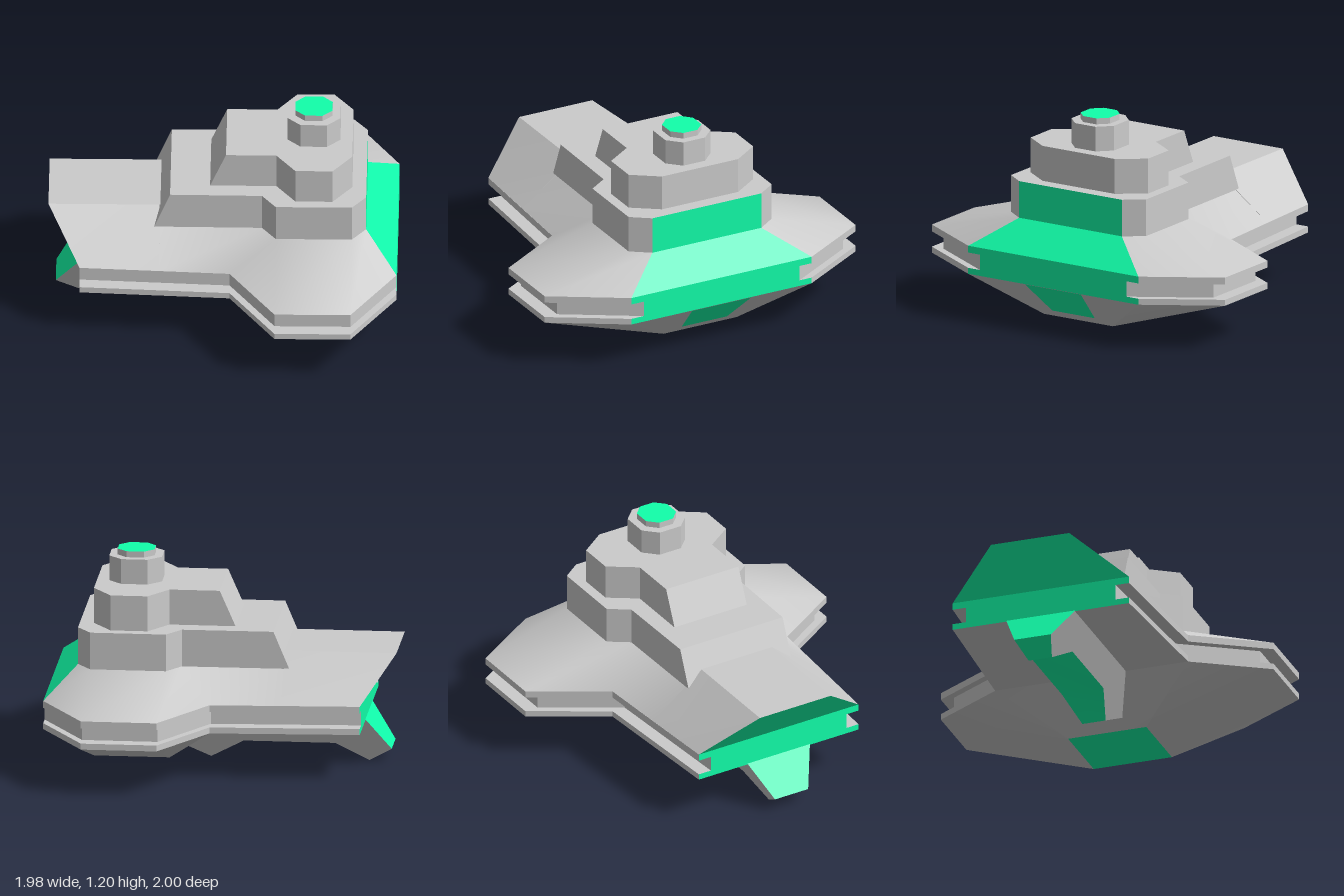
import * as THREE from 'three';
import { toCreasedNormals } from 'three/addons/utils/BufferGeometryUtils.js';

const grey = new THREE.MeshStandardMaterial({ color: 0xcccccc });
const green = new THREE.MeshStandardMaterial({ color: 0x11ffaa });

function meshFrom(points, material, name) {
  const geo = new THREE.BufferGeometry();
  geo.setAttribute('position', new THREE.Float32BufferAttribute(points.flat(), 3));
  const mesh = new THREE.Mesh(toCreasedNormals(geo, 0.6), material);
  mesh.name = name;
  return mesh;
}

const quad = (a, b, c, d) => [a, b, c, a, c, d];

// Full ring at height y from a half outline [x, z, y?] running stern to bow on +z
function ring(half, y) {
  const left = half.map(([x, z, h = y]) => [x, h, z]);
  return [...left, ...left.map(([x, h, z]) => [x, h, -z]).reverse()];
}

// Solid between two matching rings; chosen sides and caps take the accent colour
function solid(name, low, high, { accents = [], top = grey, bottom = grey, flat = p => [p[0], -p[2]] } = {}) {
  const group = new THREE.Group();
  group.name = name;
  const plain = [], accent = [];
  low.forEach((p, i) => {
    const j = (i + 1) % low.length;
    (accents.includes(i) ? accent : plain).push(...quad(p, low[j], high[j], high[i]));
  });
  const cap = (r, flip) => THREE.ShapeUtils
    .triangulateShape(r.map(p => new THREE.Vector2(...flat(p))), [])
    .flatMap(([a, b, c]) => flip ? [r[a], r[c], r[b]] : [r[a], r[b], r[c]]);
  if (top) (top === green ? accent : plain).push(...cap(high, false));
  if (bottom) (bottom === green ? accent : plain).push(...cap(low, true));
  if (plain.length) group.add(meshFrom(plain, grey, name + 'Shell'));
  if (accent.length) group.add(meshFrom(accent, green, name + 'Accent'));
  return group;
}

// Half outline of an octagon centred on x = cx
const octagon = (cx, rx, rz, c) => [[cx - rx, rz - c], [cx - rx + c, rz], [cx + rx - c, rz], [cx + rx, rz - c]];

export function createModel() {
  const model = new THREE.Group();
  model.name = 'spaceship';

  // Hull rim: two plates with a recessed groove along the sides
  const outline = [[-0.81, 0.53], [0.04, 0.58], [0.3, 1], [0.73, 1], [0.985, 0.58]];
  const inset = outline.map(([x, z]) => [x, z - 0.08]);
  const ends = { accents: [4, 9] };
  model.add(solid('lowerRim', ring(outline, 0.275), ring(outline, 0.31), ends));
  model.add(solid('rimGroove', ring(inset, 0.31), ring(inset, 0.4), ends));
  model.add(solid('upperRim', ring(outline, 0.4), ring(outline, 0.44), ends));

  // Upper hull sloping up to the decks, with the overhanging stern
  const foot = [[-0.81, 0.53], [-0.36, 0.555], [-0.36, 0.555], ...outline.slice(1)];
  const crest = [[-0.99, 0.235, 0.68], [-0.36, 0.235, 0.68], [-0.36, 0.337], [0.22, 0.345],
    [0.3, 0.46], [0.73, 0.46], [0.81, 0.35]];
  model.add(solid('upperHull', ring(foot, 0.44), ring(crest, 0.6),
    { accents: [6, 13], top: null, bottom: null }));
  model.add(meshFrom(quad([-0.99, 0.68, 0.235], [-0.3, 0.68, 0.235], [-0.3, 0.68, -0.235], [-0.99, 0.68, -0.235]),
    grey, 'sternRoof'));

  // Lower hull tapering to a flat green belly
  const belly = [[0.3, 0.235], [0.3, 0.235], [0.73, 0.235], [0.73, 0.235]];
  model.add(solid('lowerHull', ring(belly, 0.035), ring(outline.slice(1), 0.275), { top: null, bottom: green }));
  model.add(meshFrom(quad([0.78, 0.08, 0.145], [0.78, 0.08, -0.145], [0.988, 0.274, -0.19], [0.988, 0.274, 0.19]),
    green, 'bowPanel'));

  // Stepped decks with raked aft faces
  const deck = [[0.22, 0.345], [0.3, 0.46], [0.73, 0.46], [0.81, 0.35]];
  model.add(solid('mainDeck', ring([[-0.39, 0.34], ...deck], 0.6), ring([[-0.3, 0.34], ...deck], 0.815),
    { accents: [4] }));
  const tower = [[0.3, 0.24], [0.41, 0.4], [0.62, 0.4], [0.73, 0.245]];
  model.add(solid('upperDeck', ring([[-0.075, 0.24], ...tower], 0.815), ring([[0.015, 0.24], ...tower], 1.02)));

  // Bridge and its green cap
  const bridge = octagon(0.51, 0.15, 0.145, 0.075);
  model.add(solid('bridge', ring(bridge, 1.02), ring(bridge, 1.165)));
  const cap = octagon(0.51, 0.105, 0.1, 0.055);
  model.add(solid('bridgeCap', ring(cap, 1.165), ring(cap, 1.2), { top: green }));

  // Keel with two fins, narrowing downwards
  const profile = [[-0.81, 0.28], [-0.95, 0.085], [-0.82, 0.005], [-0.63, 0.115],
    [-0.11, 0.115], [0.08, 0.005], [0.27, 0.1], [0.04, 0.28]];
  const side = s => profile.map(([x, y]) => [x, y, s * (0.07 + 0.5 * (y - 0.005))]);
  model.add(solid('keel', side(-1), side(1), { accents: [0, 1, 2, 3, 4, 5, 6], flat: p => [p[0], p[1]] }));

  return model;
}
